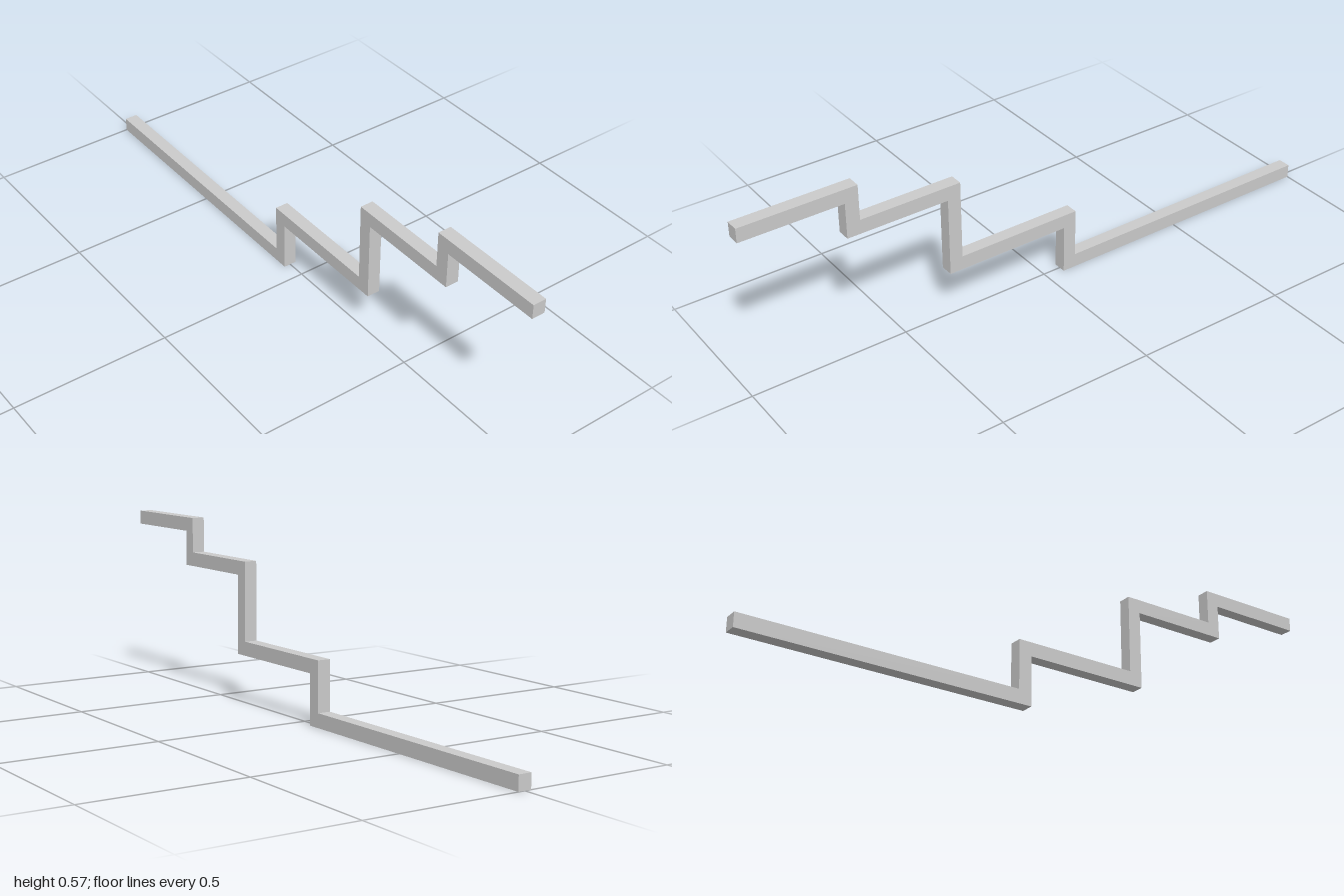
import * as THREE from 'three';

const WIDTH = 0.042; // across x
const RUN = 0.043; // thickness of the risers along z
const RISE = 0.045; // thickness of the treads along y

// Each step: back face of its riser (z) and underside of the tread it leads to (y)
const STEPS = [
  { z: -0.103, y: 0.158 },
  { z: 0.308, y: 0.411 },
  { z: 0.635, y: 0.524 },
];

export function createModel() {
  const group = new THREE.Group();
  group.name = 'steppedBar';

  // Side outline in (z, y): upper edge going forward, lower edge coming back
  const upper = [[-1, RISE]];
  const lower = [[-1, 0]];
  let level = 0;
  for (const { z, y } of STEPS) {
    upper.push([z, level + RISE], [z, y + RISE]);
    lower.push([z + RUN, level], [z + RUN, y]);
    level = y;
  }
  upper.push([1, level + RISE]);
  lower.push([1, level]);

  const outline = [...lower, ...upper.reverse()].map(([z, y]) => new THREE.Vector2(z, y));
  const geometry = new THREE.ExtrudeGeometry(new THREE.Shape(outline), {
    depth: WIDTH,
    bevelEnabled: false,
  });
  // Centre the width, then turn the outline to run along z
  geometry.translate(0, 0, -WIDTH / 2);
  geometry.rotateY(-Math.PI / 2);

  const bar = new THREE.Mesh(geometry, new THREE.MeshStandardMaterial({ color: 0xcccccc }));
  bar.name = 'bar';
  group.add(bar);
  return group;
}
